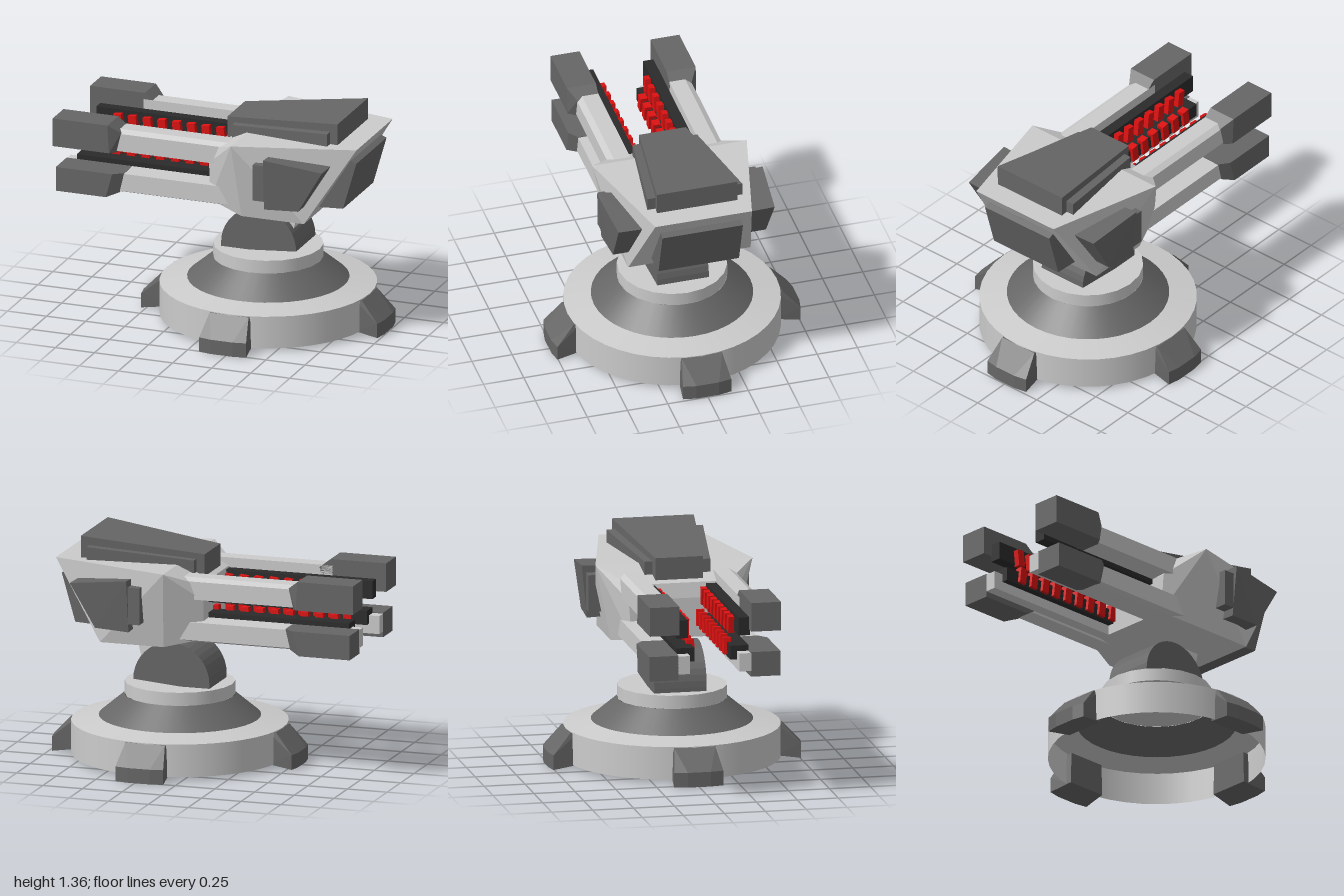
import * as THREE from 'three';
import { ConvexGeometry } from 'three/addons/geometries/ConvexGeometry.js';

const material = (color, extra = {}) => new THREE.MeshStandardMaterial({ color, ...extra });
const light = material(0xcccccc);
const lightShell = material(0xcccccc, { side: THREE.DoubleSide });
const dark = material(0x666666);
const darkShell = material(0x666666, { side: THREE.DoubleSide });
const black = material(0x2b2b2b);
const red = material(0xdd1111);

const CX = 0.225; // axis of the base

export function createModel() {
  const root = new THREE.Group();

  function add(name, geometry, mat, parent = root) {
    const mesh = new THREE.Mesh(geometry, mat);
    mesh.name = name;
    parent.add(mesh);
    return mesh;
  }
  // Flat-faced solid from corner points
  const hull = (pts) => new ConvexGeometry(pts.map((p) => new THREE.Vector3(...p)));
  // Solid symmetric in z: each point is [x, y, halfWidth]
  const symmetric = (pts) => hull(pts.flatMap(([x, y, z]) => [[x, y, z], [x, y, -z]]));
  // Box given by its limits
  function block(name, [x0, x1], [y0, y1], [z0, z1], mat, parent) {
    const mesh = add(name, new THREE.BoxGeometry(x1 - x0, y1 - y0, Math.abs(z1 - z0)), mat, parent);
    mesh.position.set((x0 + x1) / 2, (y0 + y1) / 2, (z0 + z1) / 2);
    return mesh;
  }

  // Base: hollow stack of round shells
  function shell(name, rTop, rBottom, y0, y1, mat) {
    const mesh = add(name, new THREE.CylinderGeometry(rTop, rBottom, y1 - y0, 40, 1, true), mat);
    mesh.position.set(CX, (y0 + y1) / 2, 0);
  }
  shell('baseWall', 0.65, 0.65, 0.02, 0.22, lightShell);
  shell('baseTop', 0.48, 0.65, 0.22, 0.25, lightShell);
  shell('baseCone', 0.33, 0.485, 0.25, 0.38, darkShell);
  const collar = add('collar', new THREE.CylinderGeometry(0.33, 0.33, 0.08, 20), light);
  collar.position.set(CX, 0.42, 0);

  // Four feet clamped round the base
  for (let i = 0; i < 4; i++) {
    const foot = add('foot', symmetric([
      [0.6, 0.215, 0.125], [0.648, 0.215, 0.125], [0.6, 0.02, 0.13],
      [0.77, 0.09, 0.07], [0.755, 0.09, 0.15], [0.77, 0, 0.07], [0.755, 0, 0.15],
    ]), dark);
    foot.position.x = CX;
    foot.rotation.y = i * Math.PI / 2;
  }

  // Pivot: half-round block and the neck above it
  const arch = new THREE.Shape();
  arch.moveTo(0.24, -0.02);
  arch.absarc(0, 0.02, 0.24, 0, Math.PI, false);
  arch.lineTo(-0.24, -0.02);
  const pivot = add('pivot',
    new THREE.ExtrudeGeometry(arch, { depth: 0.32, bevelEnabled: false, curveSegments: 10 }), dark);
  pivot.position.set(CX, 0.465, -0.16);
  add('neck', symmetric([
    [0.2, 0.78, 0.1], [0.475, 0.78, 0.1], [0.43, 0.61, 0.11], [0.28, 0.61, 0.11],
  ]), light);

  // Head
  add('head', symmetric([
    [-0.03, 0.8, 0.3], [-0.03, 1.04, 0.32], [-0.01, 1.13, 0.3],
    [0.17, 1.22, 0.48], [0.2, 0.75, 0.38],
    [0.905, 1.23, 0.3], [0.6, 0.75, 0.38],
  ]), light);
  add('roofPlate', symmetric([
    [0.02, 1.13, 0.145], [0.02, 1.28, 0.145], [0.765, 1.36, 0.25], [0.765, 1.2, 0.25],
  ]), dark);
  add('roofStep', symmetric([
    [0.07, 1.14, 0.2], [0.07, 1.25, 0.2], [0.715, 1.305, 0.295], [0.715, 1.2, 0.295],
  ]), dark);
  add('rearPanel', symmetric([
    [0.8, 1.14, 0.25], [0.85, 1.14, 0.25], [0.885, 1.125, 0.25],
    [0.8, 0.83, 0.25], [0.65, 0.822, 0.25], [0.6, 0.83, 0.25],
  ]), dark);

  // Everything repeated on the left (+z) and right (-z) of the barrel axis
  for (const s of [1, -1]) {
    const side = new THREE.Group();
    side.name = s > 0 ? 'frontSide' : 'backSide';
    root.add(side);
    const solid = (name, pts, mat) => add(name, hull(pts.map(([x, y, z]) => [x, y, z * s])), mat, side);
    const box = (name, x, y, z, mat) => block(name, x, y, z.map((v) => v * s), mat, side);
    // Same [y, z] section at two stations along x
    const beam = (name, x0, x1, section, mat) =>
      solid(name, [x0, x1].flatMap((x) => section.map(([y, z]) => [x, y, z])), mat);

    // Side pod and its small front block
    solid('sidePod', [
      [0.39, 1.17, 0.515], [0.755, 1.125, 0.485], [0.6, 0.86, 0.475], [0.385, 0.85, 0.485],
      [0.39, 1.16, 0.36], [0.755, 1.12, 0.3], [0.6, 0.86, 0.34], [0.385, 0.855, 0.36],
    ], dark);
    box('podBlock', [0.315, 0.4], [0.9, 1.125], [0.33, 0.49], dark);

    // Upper barrel beam and dark muzzle
    beam('upperBeam', -0.66, 0.12,
      [[1.04, 0.22], [1.18, 0.22], [1.18, 0.32], [1.16, 0.355], [1.05, 0.355]], light);
    solid('upperMuzzle', [
      [-1, 1.22, 0.22], [-1, 1.22, 0.4], [-1, 1.045, 0.22], [-1, 1.045, 0.4],
      [-0.65, 1.22, 0.22], [-0.65, 1.22, 0.4], [-0.64, 1.045, 0.4], [-0.61, 1.04, 0.22],
      [-0.58, 1.165, 0.22], [-0.58, 1.165, 0.355], [-0.61, 1.04, 0.355],
    ], dark);

    // Lower barrel beam, its core and dark muzzle
    beam('lowerBeam', -0.66, 0.12,
      [[0.915, 0.22], [0.785, 0.22], [0.785, 0.32], [0.8, 0.355], [0.91, 0.355]], light);
    box('lowerCore', [-0.98, 0.0], [0.8, 0.91], [0.15, 0.225], light);
    solid('lowerMuzzle', [
      [-0.98, 0.765, 0.22], [-0.98, 0.765, 0.4], [-0.98, 0.915, 0.22], [-0.98, 0.915, 0.4],
      [-0.66, 0.765, 0.22], [-0.66, 0.765, 0.4], [-0.62, 0.915, 0.4], [-0.56, 0.915, 0.22],
      [-0.59, 0.79, 0.22], [-0.59, 0.79, 0.355], [-0.56, 0.915, 0.355],
    ], dark);

    // Black inner rails
    box('upperRail', [-0.935, 0], [1.01, 1.12], [0.155, 0.225], black);
    box('lowerRail', [-0.915, 0], [0.86, 0.945], [0.11, 0.22], black);

    // Rows of slanted red coils on the rails
    for (let i = 0; i < 9; i++) {
      const x = -0.81 + i * 0.094;
      const upper = box('upperCoil', [x, x + 0.05], [1.0, 1.1], [0.12, 0.16], red);
      const lower = box('lowerCoil', [x - 0.01, x + 0.04], [0.87, 0.97], [0.09, 0.135], red);
      upper.rotation.z = 0.12;
      lower.rotation.z = -0.12;
    }
  }
  return root;
}
